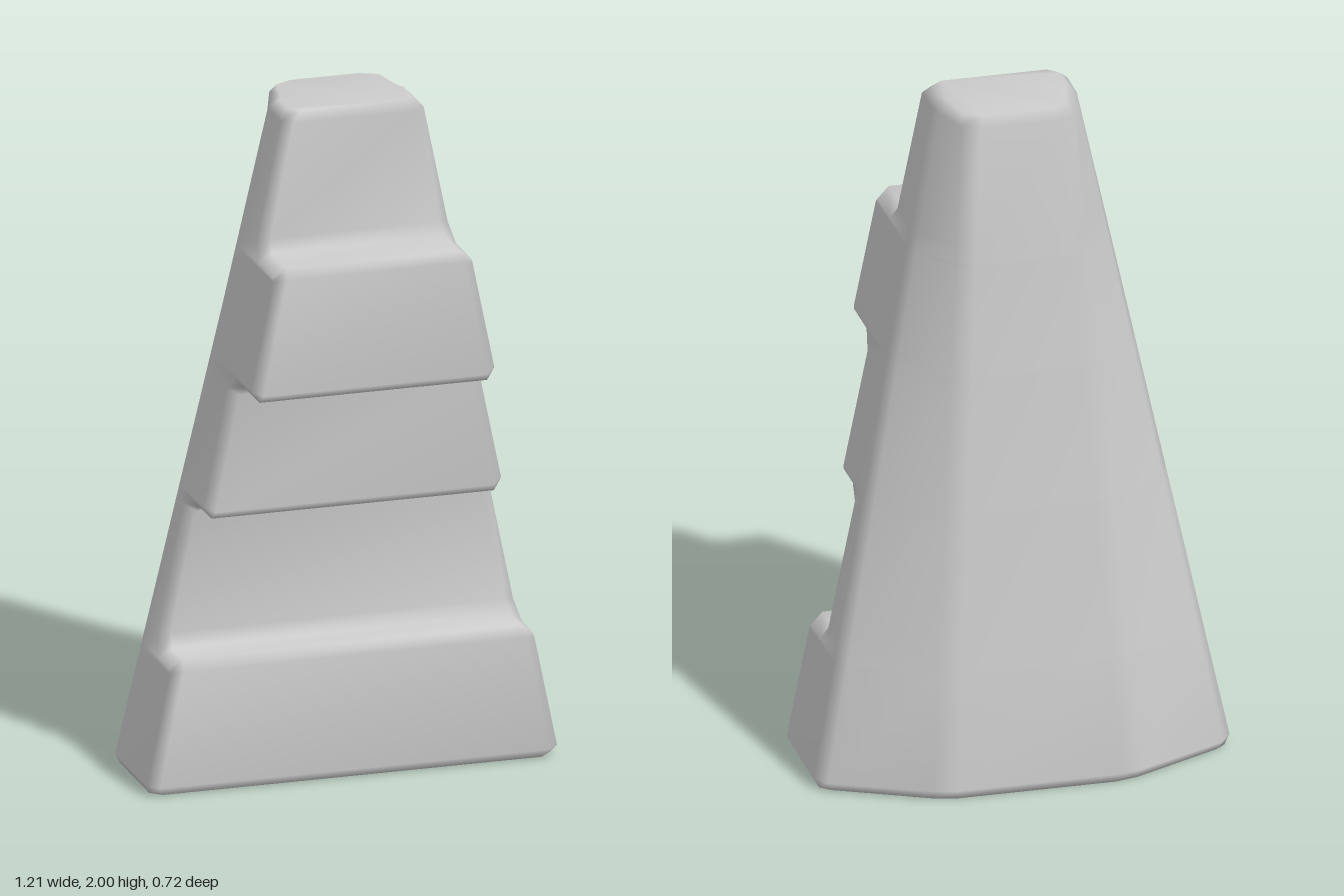
import * as THREE from 'three';

const BEVEL = 0.03;

// Front profile [y, z] from the foot to the top: a recessed step, then a raised step
const PROFILE = [
  [0, 0.135], [0.03, 0.165], [0.37, 0.165], [0.4, 0.138],
  [0.4, 0.038], [0.435, 0.005], [0.79, 0.005], [0.81, 0.035],
  [0.81, 0.14], [0.835, 0.165], [1.18, 0.165], [1.21, 0.195],
  [1.21, 0.335], [1.235, 0.36], [1.575, 0.36], [1.602, 0.335],
  [1.602, 0.195], [1.635, 0.165], [1.972, 0.165], [2, 0.14],
];

// Right half of the side and back outline [x, z], at the foot and at the top
const FOOT = [[0.612, -0.17], [0.582, -0.218], [0.305, -0.348], [0.24, -0.363]];
const TOP = [[0.206, 0.03], [0.195, -0.01], [0.162, -0.118], [0.112, -0.143]];

const mix = THREE.MathUtils.lerp;
const last = PROFILE.length - 1;

// Profile point moved inward, so that the bevel follows every step
function insetPoint(i) {
  const [y, z] = PROFILE[i];
  if (i < 2 || i > last - 2) return [y, z - BEVEL];
  const normal = (a, b) => new THREE.Vector2(-(b[1] - a[1]), b[0] - a[0]).normalize();
  const n1 = normal(PROFILE[i - 1], PROFILE[i]);
  const n2 = normal(PROFILE[i], PROFILE[i + 1]);
  const n = n1.clone().add(n2);
  n.multiplyScalar(BEVEL / (1 + n1.dot(n2)));
  return [y - n.x, z - n.y];
}

// One closed loop of 12 points around the body
function makeRing(i) {
  const [y, z] = PROFILE[i];
  const [yi, zi] = insetPoint(i);
  const rim = i === 0 || i === last ? 0.022 : 0; // rounding of foot and top rims
  const width = (h) => mix(FOOT[0][0], TOP[0][0], h / 2) - rim;
  const half = [[width(y) - BEVEL, y, z], [width(yi), yi, zi]];
  FOOT.forEach(([x0, z0], k) => {
    const [x1, z1] = TOP[k];
    half.push([
      mix(x0, x1, yi / 2) - rim * (k < 2 ? 1 : 0.5),
      yi,
      mix(z0, z1, yi / 2) + (k > 0 ? rim : 0),
    ]);
  });
  const mirrored = half.map(([px, py, pz]) => [-px, py, pz]).reverse();
  return [...half, ...mirrored];
}

function makeBody() {
  const rings = PROFILE.map((_, i) => makeRing(i));
  const n = rings[0].length;
  const index = [];
  // Skin between neighbouring loops
  for (let r = 0; r < last; r++) {
    for (let k = 0; k < n; k++) {
      const a = r * n + k;
      const b = r * n + ((k + 1) % n);
      index.push(a, b, b + n, a, b + n, a + n);
    }
  }
  // Flat foot and top
  for (let k = 1; k < n - 1; k++) {
    index.push(0, k + 1, k);
    index.push(last * n, last * n + k, last * n + k + 1);
  }
  const geometry = new THREE.BufferGeometry();
  geometry.setAttribute('position', new THREE.Float32BufferAttribute(rings.flat(2), 3));
  geometry.setIndex(index);
  geometry.computeVertexNormals();
  return geometry;
}

export function createModel() {
  const group = new THREE.Group();
  group.name = 'steppedSpike';
  const body = new THREE.Mesh(makeBody(), new THREE.MeshStandardMaterial({ color: 0xcccccc }));
  body.name = 'steppedBody';
  group.add(body);
  return group;
}
